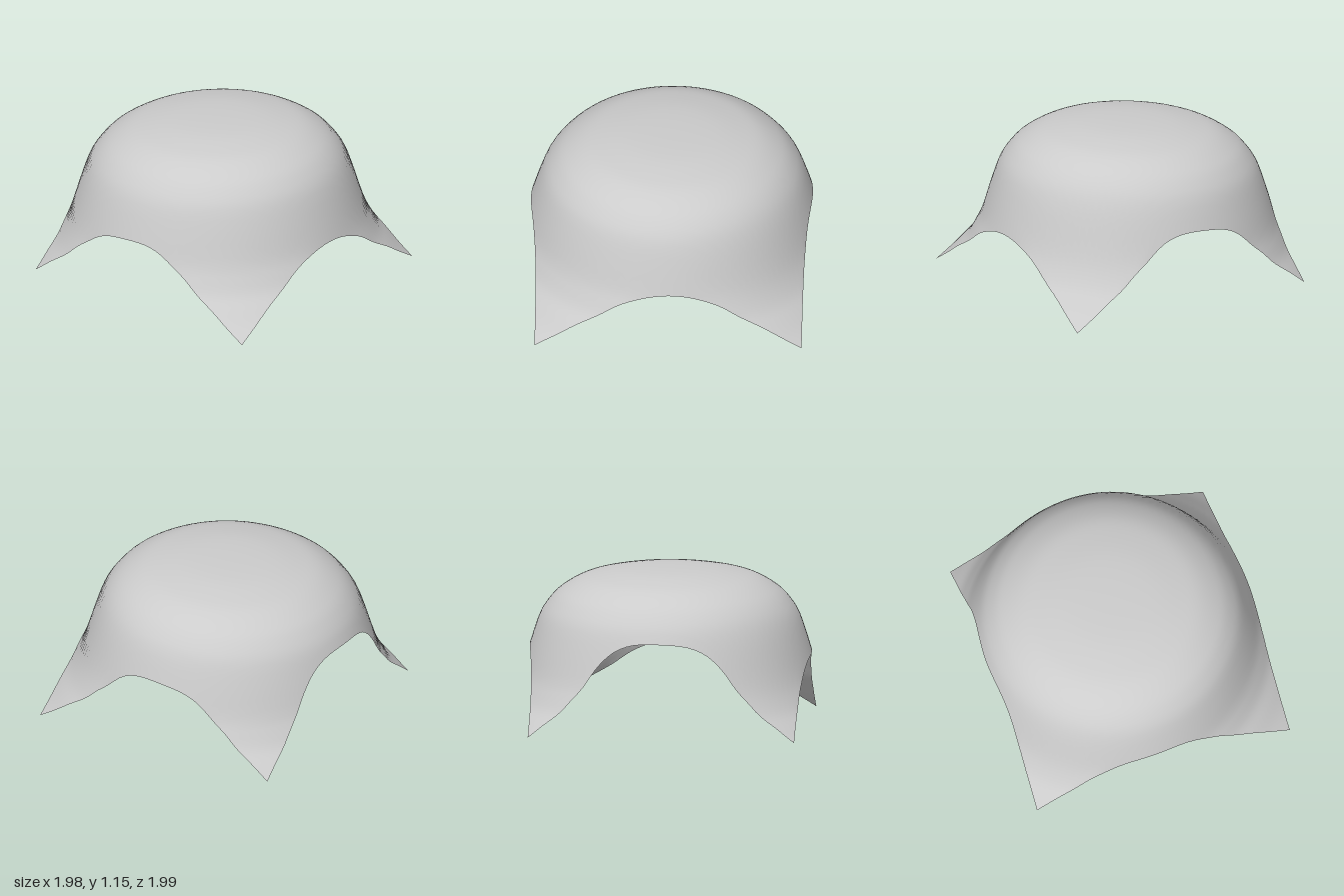
import * as THREE from 'three';

// Drop of the cloth: [distance from the hidden round support's axis, height]
const PROFILE = [
  [0, 1.152], [0.3, 1.142], [0.5, 1.112], [0.645, 1.072], [0.79, 0.985], [0.86, 0.91],
  [0.915, 0.825], [0.96, 0.7], [1.0, 0.57], [1.04, 0.435], [1.08, 0.35], [1.13, 0.255],
  [1.21, 0.16], [1.29, 0.07], [1.39, -0.024],
];
const AXIS = { x: -0.05, z: -0.01 };
const TILT = 0.03;

// Slope of the profile at point i
function slope(i) {
  if (i === 0) return 0;
  const a = PROFILE[i - 1], b = PROFILE[Math.min(i + 1, PROFILE.length - 1)];
  return (b[1] - a[1]) / (b[0] - a[0]);
}

// Smooth (Hermite) height at distance r
function heightAt(r) {
  let i = 0;
  while (i < PROFILE.length - 2 && r > PROFILE[i + 1][0]) i++;
  const [r0, y0] = PROFILE[i], [r1, y1] = PROFILE[i + 1];
  const d = r1 - r0, t = (r - r0) / d, t2 = t * t, t3 = t2 * t;
  return y0 * (2 * t3 - 3 * t2 + 1) + d * slope(i) * (t3 - 2 * t2 + t)
    + y1 * (3 * t2 - 2 * t3) + d * slope(i + 1) * (t3 - t2);
}

// Each edge bows outwards around its middle
const bow = (t) => Math.exp(-((t / 0.38) ** 2));

// Rows crowd towards the steep rim
const spread = (t) => 0.6 * t + 0.4 * Math.sin((t * Math.PI) / 2);

function createCloth() {
  const geometry = new THREE.PlaneGeometry(2, 2, 48, 48).rotateX(-Math.PI / 2);
  const p = geometry.attributes.position;
  for (let i = 0; i < p.count; i++) {
    const u = spread(p.getX(i)), v = spread(p.getZ(i));
    const x = u * (u < 0 ? 0.93 + 0.06 * bow(v) : 0.96 + 0.025 * bow(v));
    const z = v * (0.945 + 0.052 * bow(u + 0.07));
    const y = heightAt(Math.hypot(x - AXIS.x, z - AXIS.z)) + TILT * x;
    p.setXYZ(i, x, y, z);
  }
  geometry.computeVertexNormals();
  const material = new THREE.MeshStandardMaterial({ color: 0xcccccc, side: THREE.DoubleSide });
  const cloth = new THREE.Mesh(geometry, material);
  cloth.name = 'drapedCloth';
  return cloth;
}

export function createModel() {
  const model = new THREE.Group();
  model.name = 'clothDrape';
  model.add(createCloth());
  return model;
}
